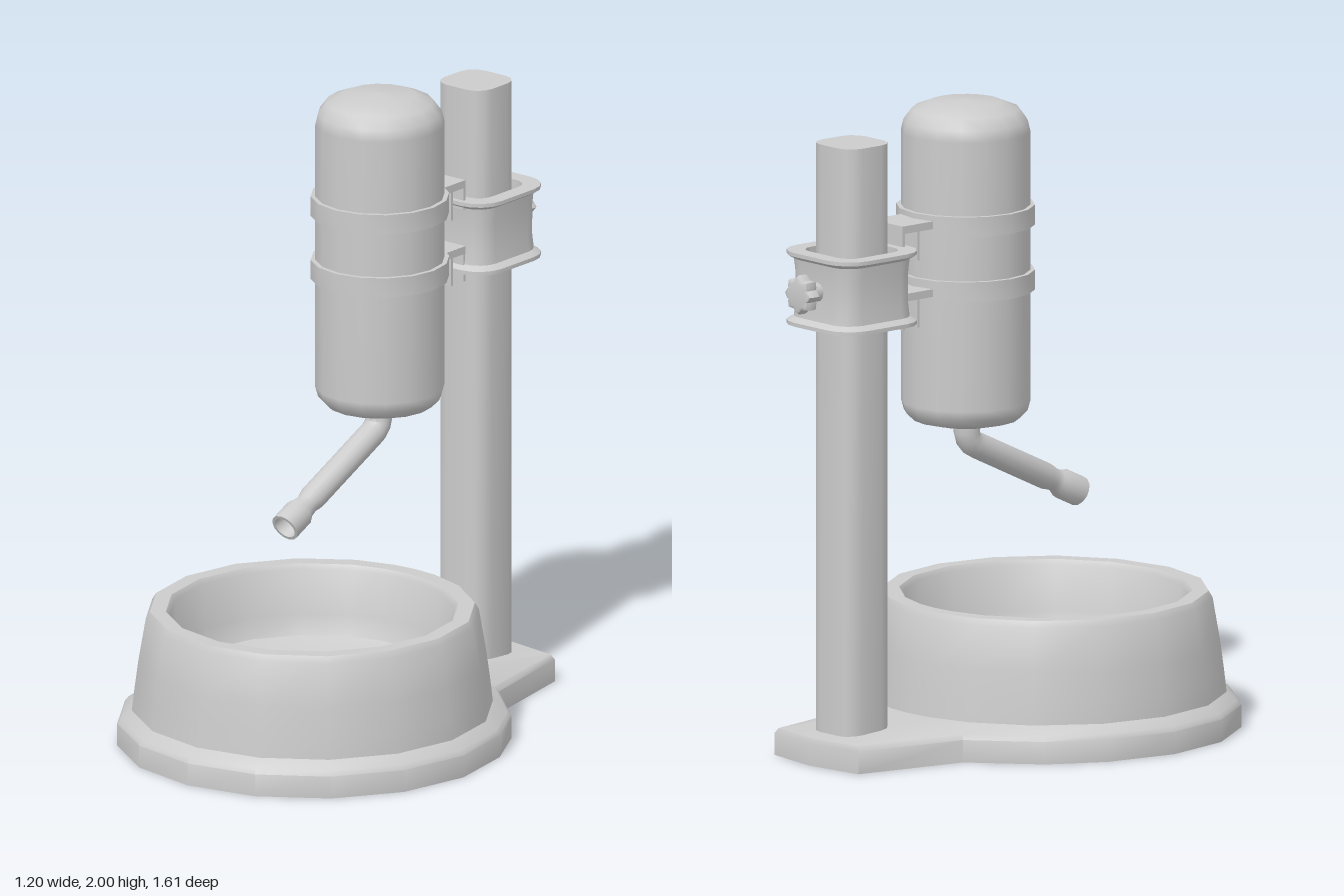
import * as THREE from 'three';
import { toCreasedNormals } from 'three/addons/utils/BufferGeometryUtils.js';

const material = new THREE.MeshStandardMaterial({ color: 0xcccccc, side: THREE.DoubleSide });
const V = (x, y, z) => new THREE.Vector3(x, y, z);

function add(parent, name, geometry, x = 0, y = 0, z = 0) {
  const mesh = new THREE.Mesh(geometry, material);
  mesh.name = name;
  mesh.position.set(x, y, z);
  parent.add(mesh);
  return mesh;
}

// Skin a list of closed rings that all have the same number of points
function loft(rings, crease = 0.6) {
  const n = rings[0].length;
  const index = [];
  for (let i = 0; i < rings.length - 1; i++) {
    for (let j = 0; j < n; j++) {
      const k = (j + 1) % n;
      const a = i * n + j, b = i * n + k, c = a + n, d = b + n;
      index.push(a, b, d, a, d, c);
    }
  }
  const g = new THREE.BufferGeometry().setFromPoints(rings.flat());
  g.setIndex(index);
  return toCreasedNormals(g, crease);
}

// Rounded rectangle ring, counter-clockwise seen from above
function roundedRing(hw, hd, r, y, segments = 3) {
  const pts = [];
  for (let q = 0; q < 4; q++) {
    const sx = q < 2 ? 1 : -1, sz = q === 0 || q === 3 ? 1 : -1;
    for (let s = 0; s <= segments; s++) {
      const a = (q + s / segments) * Math.PI / 2;
      pts.push(V(sx * (hw - r) + r * Math.sin(a), y, sz * (hd - r) + r * Math.cos(a)));
    }
  }
  return pts;
}

const BOWL_Z = 0.2, POST_Z = -0.587;

// Bowl directions in degrees from the front; the back ones fan out into the tongue
const half = [22.5, 45, 67.5, 90, 112.5, 135, 156, 171];
const angles = [0, ...half, 180, ...half.map(a => 360 - a).reverse()];
const circle = (r, y) => angles.map(a => {
  const t = THREE.MathUtils.degToRad(a);
  return V(r * Math.sin(t), y, BOWL_Z + r * Math.cos(t));
});

// Footprint of the base: a round front with a tapered tongue at the back
function footprint(inset, y) {
  const ring = circle(0.6 - inset, y);
  const back = { 6: [0.46, -0.2], 7: [0.27, -0.37], 8: [0.195, -0.73], 9: [0, -0.757] };
  for (const [key, [x, z]] of Object.entries(back)) {
    const i = Number(key), px = Math.max(x - inset, 0), pz = z + inset * 0.5;
    ring[i].set(px, y, pz);
    ring[(18 - i) % 18].set(-px, y, pz);
  }
  return ring;
}

function buildBase(parent) {
  const base = new THREE.Group();
  base.name = 'base';
  parent.add(base);

  // Outer flange, wall, rim and inside of the bowl
  const wall = [[0.555, 0.11], [0.547, 0.18], [0.535, 0.27], [0.512, 0.405], [0.5, 0.425],
    [0.45, 0.425], [0.438, 0.41], [0.425, 0.27], [0.4, 0.21], [0.34, 0.185], [0, 0.18]];
  add(base, 'bowl', loft([footprint(0, 0), footprint(0, 0.07), footprint(0.012, 0.085),
    ...wall.map(([r, y]) => circle(r, y))], 0.75));

  // Hollow underside of the bowl
  const under = [[0, 0.16], [0.45, 0.16], [0.49, 0.11], [0.56, 0.02], [0.57, 0]];
  add(base, 'bowlUnderside', loft(under.map(([r, y]) => circle(r, y))));

  // Flat foot with openings for the bowl and the post
  const flat = ring => ring.map(p => new THREE.Vector2(p.x, p.z));
  const socket = y => roundedRing(0.1, 0.098, 0.06, y).map(p => p.setZ(p.z + POST_Z));
  const shape = new THREE.Shape(flat(footprint(0, 0)));
  shape.holes.push(new THREE.Path(flat(circle(0.57, 0))), new THREE.Path(flat(socket(0))));
  add(base, 'foot', new THREE.ShapeGeometry(shape).rotateX(Math.PI / 2));
  add(base, 'postSocket', loft([socket(0.07), socket(0)]));
}

function buildPost(parent) {
  const section = (s, y) => roundedRing(0.095 * s, 0.093 * s, 0.055 * s, y);
  add(parent, 'post', loft([section(0, 0.05), section(1, 0.05), section(1, 1.925), section(0, 1.925)]),
    0, 0, POST_Z);
}

function buildClamp(parent) {
  const clamp = new THREE.Group();
  clamp.name = 'clamp';
  parent.add(clamp);

  // Collar with flared lips, open around the post
  const outer = [[0, 1.36], [0, 1.372], [0.022, 1.385], [0.027, 1.43], [0.027, 1.52],
    [0.022, 1.565], [0, 1.578], [0, 1.59]];
  const hole = y => roundedRing(0.115, 0.115, 0.05, y, 4);
  const rings = outer.map(([d, y]) => roundedRing(0.167 - d, 0.168 - d, 0.09 - d, y, 4));
  add(clamp, 'collar', loft([hole(1.36), ...rings, hole(1.59), hole(1.36)], 0.7), 0, 0, POST_Z);

  // Tightening screw and lobed knob
  add(clamp, 'screw', new THREE.CylinderGeometry(0.03, 0.03, 0.1, 12).rotateX(Math.PI / 2), 0, 1.477, -0.72);
  const lobes = [];
  for (let i = 0; i < 32; i++) {
    const a = i / 32 * Math.PI * 2, r = 0.044 + 0.006 * Math.cos(a * 8);
    lobes.push(new THREE.Vector2(r * Math.cos(a), r * Math.sin(a)));
  }
  const knob = new THREE.ExtrudeGeometry(new THREE.Shape(lobes), {
    depth: 0.024, bevelThickness: 0.011, bevelSize: 0.009, bevelSegments: 2 });
  add(clamp, 'knob', toCreasedNormals(knob, 0.7), 0, 1.477, -0.8);
}

function buildBottle(parent) {
  const bottle = new THREE.Group();
  bottle.name = 'bottle';
  bottle.position.z = -0.125;
  parent.add(bottle);

  const profile = [[0, 0.985], [0.1, 0.987], [0.165, 1.003], [0.19, 1.028], [0.199, 1.06], [0.199, 1.9],
    [0.191, 1.935], [0.165, 1.97], [0.11, 1.992], [0, 2]].map(p => new THREE.Vector2(...p));
  add(bottle, 'bottleBody', new THREE.LatheGeometry(profile, 16));

  // Two straps, each with a bracket arm reaching back to the clamp
  for (const [y, arm, endLow, midLow] of [[1.64, 1.642, 1.56, 1.54], [1.437, 1.43, 1.33, 1.33]]) {
    const h = 0.031;
    const band = [[0.197, -h], [0.213, -h], [0.213, h], [0.197, h], [0.197, -h]];
    add(bottle, 'strap', toCreasedNormals(
      new THREE.LatheGeometry(band.map(p => new THREE.Vector2(...p)), 16), 0.6), 0, y, 0);
    add(bottle, 'bracketArm', new THREE.BoxGeometry(0.15, 0.024, 0.13), 0, arm, -0.255);
    for (const [z, low] of [[-0.256, midLow], [-0.316, endLow]]) {
      const tall = arm + 0.012 - low;
      add(bottle, 'bracketTab', new THREE.BoxGeometry(0.15, tall, 0.009), 0, low + tall / 2, z);
    }
  }
}

function buildSpout(parent) {
  // Stations along the bent tube: z, y, radius, downward tilt in degrees
  const stations = [[-0.12, 1.0, 0.041, 90], [-0.12, 0.955, 0.041, 90], [-0.113, 0.936, 0.041, 65],
    [-0.095, 0.918, 0.041, 40], [-0.075, 0.908, 0.041, 26], [0.2, 0.776, 0.041, 26],
    [0.225, 0.764, 0.035, 26], [0.245, 0.754, 0.037, 26], [0.265, 0.744, 0.047, 26],
    [0.332, 0.712, 0.047, 26], [0.332, 0.712, 0.037, 26], [0.29, 0.732, 0.035, 26], [0.29, 0.732, 0, 26]];
  const rings = stations.map(([z, y, r, tilt]) => {
    const t = THREE.MathUtils.degToRad(tilt);
    return Array.from({ length: 14 }, (_, i) => {
      const a = i / 14 * Math.PI * 2;
      return V(r * Math.sin(a), y - r * Math.cos(a) * Math.cos(t), z - r * Math.cos(a) * Math.sin(t));
    });
  });
  add(parent, 'spout', loft(rings, 0.8));
}

export function createModel() {
  const model = new THREE.Group();
  model.name = 'waterDispenser';
  buildBase(model);
  buildPost(model);
  buildClamp(model);
  buildBottle(model);
  buildSpout(model);
  return model;
}
